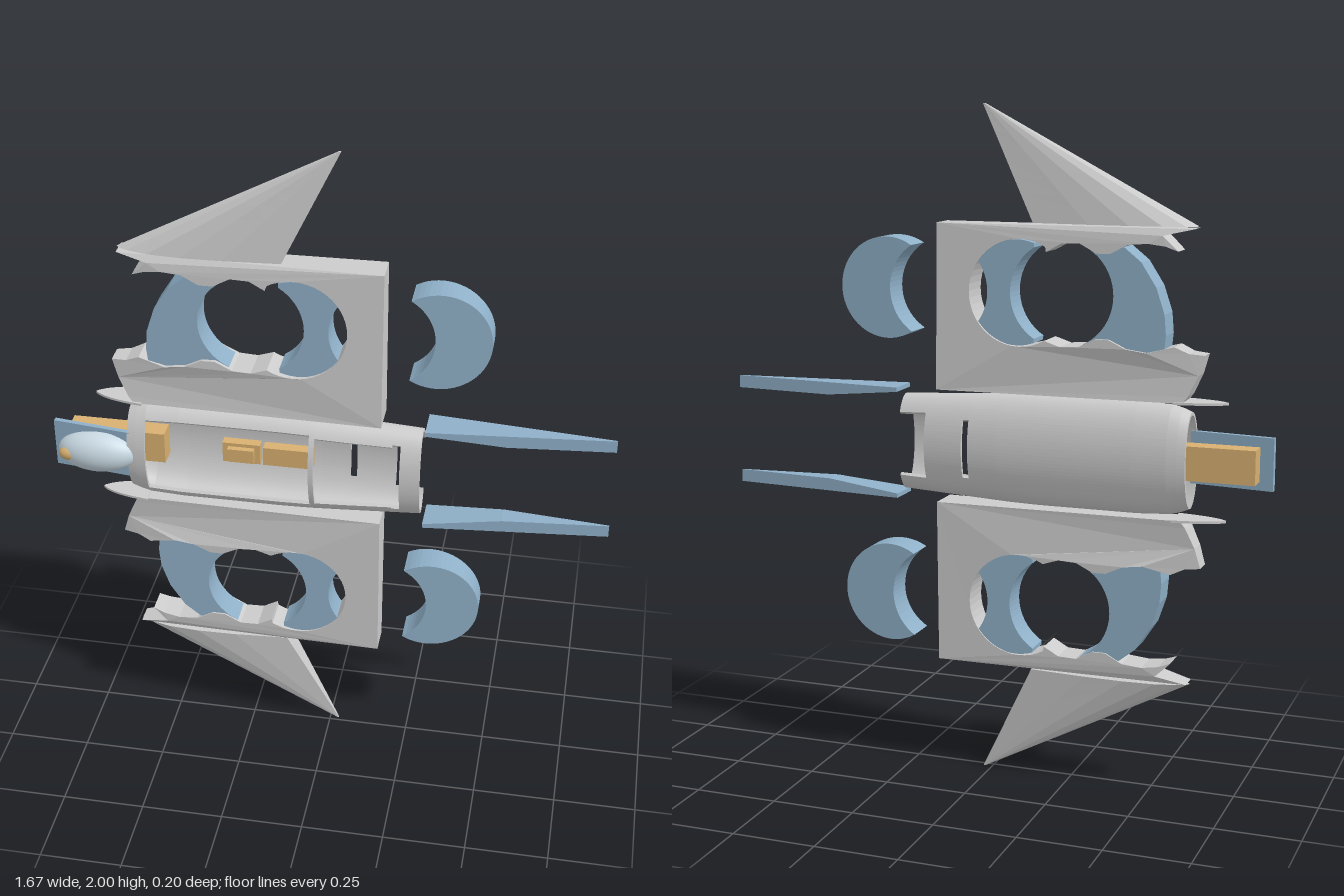
import * as THREE from 'three';

const grey = new THREE.MeshStandardMaterial({ color: 0xcccccc, side: THREE.DoubleSide });
const blue = new THREE.MeshStandardMaterial({ color: 0x8fb0c8, side: THREE.DoubleSide });
const pale = new THREE.MeshStandardMaterial({ color: 0xc8d8e2 });
const tan = new THREE.MeshStandardMaterial({ color: 0xd8b070 });
const ZC = -0.015; // mid-plane of the wing

function add(parent, name, geometry, material) {
  const mesh = new THREE.Mesh(geometry, material);
  mesh.name = name;
  parent.add(mesh);
  return mesh;
}

function box(parent, name, x0, x1, y0, y1, z0, z1, material) {
  const m = add(parent, name, new THREE.BoxGeometry(x1 - x0, y1 - y0, z1 - z0), material);
  m.position.set((x0 + x1) / 2, (y0 + y1) / 2, (z0 + z1) / 2);
  return m;
}

// Points on a circular arc between two angles in degrees
function arc(cx, cy, r, a0, a1, n = 20) {
  return Array.from({ length: n + 1 }, (_, i) => {
    const a = THREE.MathUtils.degToRad(a0 + (a1 - a0) * i / n);
    return [cx + r * Math.cos(a), cy + r * Math.sin(a)];
  });
}

// Flat outline thickened about the wing plane, half thickness given by a rule
function slab(points, half) {
  const shape = new THREE.Shape(points.map(p => new THREE.Vector2(p[0], p[1])));
  const g = new THREE.ExtrudeGeometry(shape, { depth: 1, bevelEnabled: false });
  const p = g.attributes.position;
  for (let i = 0; i < p.count; i++) {
    p.setZ(i, ZC + (p.getZ(i) - 0.5) * 2 * half(p.getX(i), p.getY(i)));
  }
  g.computeVertexNormals();
  return g;
}

function meshFrom(pos, idx) {
  const g = new THREE.BufferGeometry();
  g.setAttribute('position', new THREE.Float32BufferAttribute(pos, 3));
  g.setIndex(idx);
  g.computeVertexNormals();
  return g;
}

// Open oval tube with hatches cut from the front and back
function fuselageGeometry() {
  const xs = [-0.605, -0.58, -0.55, -0.45, -0.35, -0.25, -0.15, -0.055, -0.04, 0.05, 0.07, 0.13, 0.19, 0.215, 0.275];
  const N = 96, pos = [], idx = [];
  const wide = x => x < -0.5 ? 0.165 - 2.2 * (x + 0.5) ** 2 : x < -0.1 ? 0.165 : 0.165 - 0.02 * (x + 0.1) / 0.375;
  const deep = x => x < -0.5 ? 0.083 - 0.6 * (x + 0.5) ** 2 : x < 0 ? 0.083 : 0.083 - 0.05 * x;
  const point = (i, j, inner) => {
    const a = 2 * Math.PI * j / N, x = xs[i], t = inner ? 0.01 : 0;
    return [x, (wide(x) - t) * Math.cos(a), ZC + (deep(x) - t) * Math.sin(a)];
  };
  const solid = (i, j) => {
    if (i < 0 || i >= xs.length - 1) return false;
    const a = 2 * Math.PI * (j + 0.5) / N, x = (xs[i] + xs[i + 1]) / 2;
    const y = Math.abs(wide(x) * Math.cos(a));
    if (Math.sin(a) > 0) {
      return !((x > -0.55 && x < -0.055 && y < 0.125) || (x > -0.04 && x < 0.215 && y < 0.11));
    }
    return !((x > 0.05 && x < 0.07 && y < 0.09) || (x > 0.19 && y < 0.095));
  };
  const quad = (...c) => {
    const b = pos.length / 3;
    c.forEach(v => pos.push(...v));
    idx.push(b, b + 1, b + 2, b, b + 2, b + 3);
  };
  for (let i = 0; i < xs.length - 1; i++) for (let j = 0; j < N; j++) {
    if (!solid(i, j)) continue;
    const o = [point(i, j), point(i, j + 1), point(i + 1, j + 1), point(i + 1, j)];
    const n = [point(i, j, 1), point(i, j + 1, 1), point(i + 1, j + 1, 1), point(i + 1, j, 1)];
    quad(o[3], o[2], o[1], o[0]);
    quad(...n);
    // rim walls wherever the neighbouring patch is missing
    [[-1, 0], [0, 1], [1, 0], [0, -1]].forEach(([di, dj], k) => {
      if (!solid(i + di, j + dj)) quad(o[k], o[(k + 1) % 4], n[(k + 1) % 4], n[k]);
    });
  }
  return meshFrom(pos, idx);
}

// Swept wing tip lofted from thin sections that shrink to a point
function wingTipGeometry() {
  const side = [[0, 0], [0.02, 0.25], [0.07, 0.5], [0.2, 0.85], [0.4, 1], [0.65, 0.95], [1, 0.7]];
  const loop = [...side, ...side.slice(1).reverse().map(([u, h]) => [u, -h])];
  const n = loop.length, rows = 8, pos = [], idx = [];
  for (let r = 0; r <= rows; r++) {
    const t = r / rows;
    const x0 = -0.615 + 0.635 * t, x1 = -0.135 + 0.163 * t, h = 0.043 * (1 - t) + 0.003;
    loop.forEach(([u, f]) => pos.push(x0 + (x1 - x0) * u, 0.665 + 0.335 * t, ZC + f * h));
  }
  for (let r = 0; r < rows; r++) for (let k = 0; k < n; k++) {
    const a = r * n + k, b = r * n + (k + 1) % n;
    idx.push(a, a + n, b, b, a + n, b + n);
  }
  for (let k = 1; k < n - 1; k++) {
    idx.push(0, k, k + 1, rows * n, rows * n + k + 1, rows * n + k);
  }
  const g = meshFrom(pos, idx).toNonIndexed();
  g.computeVertexNormals();
  return g;
}

// One wing with its duct pieces, measured from the centre line
function wing(name) {
  const w = new THREE.Group();
  w.name = name;
  const FY = 0.465; // height of the fan axis
  const half = (x, y) => (0.057 - 0.022 * (y - 0.17)) * (x < -0.5 ? 1 - 3.2 * (-0.5 - x) : 1 - 0.25 * Math.max(0, x + 0.1));

  // inner panel with the scalloped fan opening
  add(w, 'innerWingPanel', slab([
    [0.157, 0.17], [0.157, 0.66], [-0.61, 0.66], [-0.52, 0.64], [-0.565, 0.597], [-0.53, 0.61],
    [-0.48, 0.617], [-0.42, 0.612], [-0.37, 0.585], [-0.33, 0.585], [-0.28, 0.612], [-0.225, 0.61], [-0.18, 0.585],
    ...arc(-0.1, FY, 0.155, 120, -120, 32),
    [-0.225, 0.315], [-0.28, 0.318], [-0.33, 0.343], [-0.37, 0.342], [-0.42, 0.318], [-0.48, 0.31], [-0.56, 0.33],
    [-0.6, 0.312], [-0.645, 0.308], [-0.628, 0.25], [-0.6, 0.19], [-0.585, 0.17],
  ], half), grey);

  // duct pieces around the fan, plus the loose crescent behind
  const duct = x => 0.043 - 0.02 * Math.max(0, x - 0.24);
  add(w, 'frontDuct', slab([
    [-0.375, 0.608], [-0.41, 0.605], [-0.46, 0.565], [-0.505, 0.495], [-0.53, 0.42], [-0.535, 0.36], [-0.53, 0.31],
    [-0.46, 0.30], [-0.38, 0.315], [-0.3, 0.318],
    ...arc(-0.225, FY, 0.155, 245, 115),
  ], duct), blue);
  add(w, 'rearDuct', slab([
    ...arc(-0.225, FY, 0.155, -58, 58),
    ...arc(-0.09, FY, 0.153, 110, 36, 12),
    ...arc(0.15, FY, 0.15, 143, 217),
    ...arc(-0.09, FY, 0.153, -36, -110, 12),
  ], duct), blue);
  add(w, 'ductCrescent', slab([
    ...arc(0.315, FY, 0.15, -121, 121, 40),
    ...arc(0.155, FY, 0.15, 58, -58),
  ], x => 0.05 - 0.07 * Math.max(0, x - 0.24)), blue);

  // swept tip
  add(w, 'wingTip', wingTipGeometry(), grey);

  // thin root rib with a rounded nose
  const rib = new THREE.Shape();
  rib.moveTo(-0.56, ZC - 0.05);
  rib.quadraticCurveTo(-0.68, ZC - 0.035, -0.71, ZC);
  rib.quadraticCurveTo(-0.68, ZC + 0.035, -0.56, ZC + 0.05);
  const ribGeo = new THREE.ExtrudeGeometry(rib, { depth: 0.007, bevelEnabled: false });
  ribGeo.rotateX(Math.PI / 2);
  add(w, 'rootRib', ribGeo, grey).position.y = 0.174;

  // wedge-shaped control surface
  add(w, 'controlSurface', slab([
    [0.285, 0.168], [0.285, 0.155], [0.52, 0.13], [0.835, 0.13], [0.835, 0.168], [0.52, 0.168],
  ], x => 0.002 + 0.05 * (0.835 - x) / 0.55), blue);
  return w;
}

export function createModel() {
  const model = new THREE.Group();
  model.name = 'aircraft';
  const body = new THREE.Group();
  body.name = 'body';
  body.position.y = 1;
  model.add(body);

  // wings mirrored about the centre line
  const upper = wing('upperWing'), lower = wing('lowerWing');
  lower.scale.y = -1;
  body.add(upper, lower);

  add(body, 'fuselageShell', fuselageGeometry(), grey);

  // equipment inside the fuselage
  box(body, 'battery', -0.8, -0.505, -0.05, 0.05, -0.06, 0.0, tan);
  box(body, 'controllerBase', -0.33, -0.215, -0.033, 0.033, -0.045, -0.015, tan);
  box(body, 'controllerTop', -0.312, -0.232, -0.022, 0.022, -0.015, 0.003, tan);
  box(body, 'receiver', -0.205, -0.055, -0.03, 0.03, -0.045, -0.01, tan);

  // nose pod: tilted tray, rounded canopy and lens
  const tray = box(body, 'noseTray', -0.84, -0.59, -0.077, 0.077, 0.02, 0.035, blue);
  tray.rotation.y = -0.13;
  const dome = new THREE.SphereGeometry(1, 40, 20, 0, Math.PI * 2, 0, Math.PI / 2);
  dome.rotateX(Math.PI / 2);
  const canopy = add(body, 'noseCanopy', dome, pale);
  canopy.scale.set(0.122, 0.066, 0.06);
  canopy.position.set(-0.7, 0, 0.042);
  const lower_ = add(body, 'canopyBase', new THREE.SphereGeometry(1, 40, 20), pale);
  lower_.scale.set(0.12, 0.064, 0.015);
  lower_.position.set(-0.7, 0, 0.042);
  const lens = add(body, 'noseLens', new THREE.SphereGeometry(1, 20, 12), tan);
  lens.scale.set(0.032, 0.022, 0.02);
  lens.position.set(-0.782, 0, 0.072);
  return model;
}
